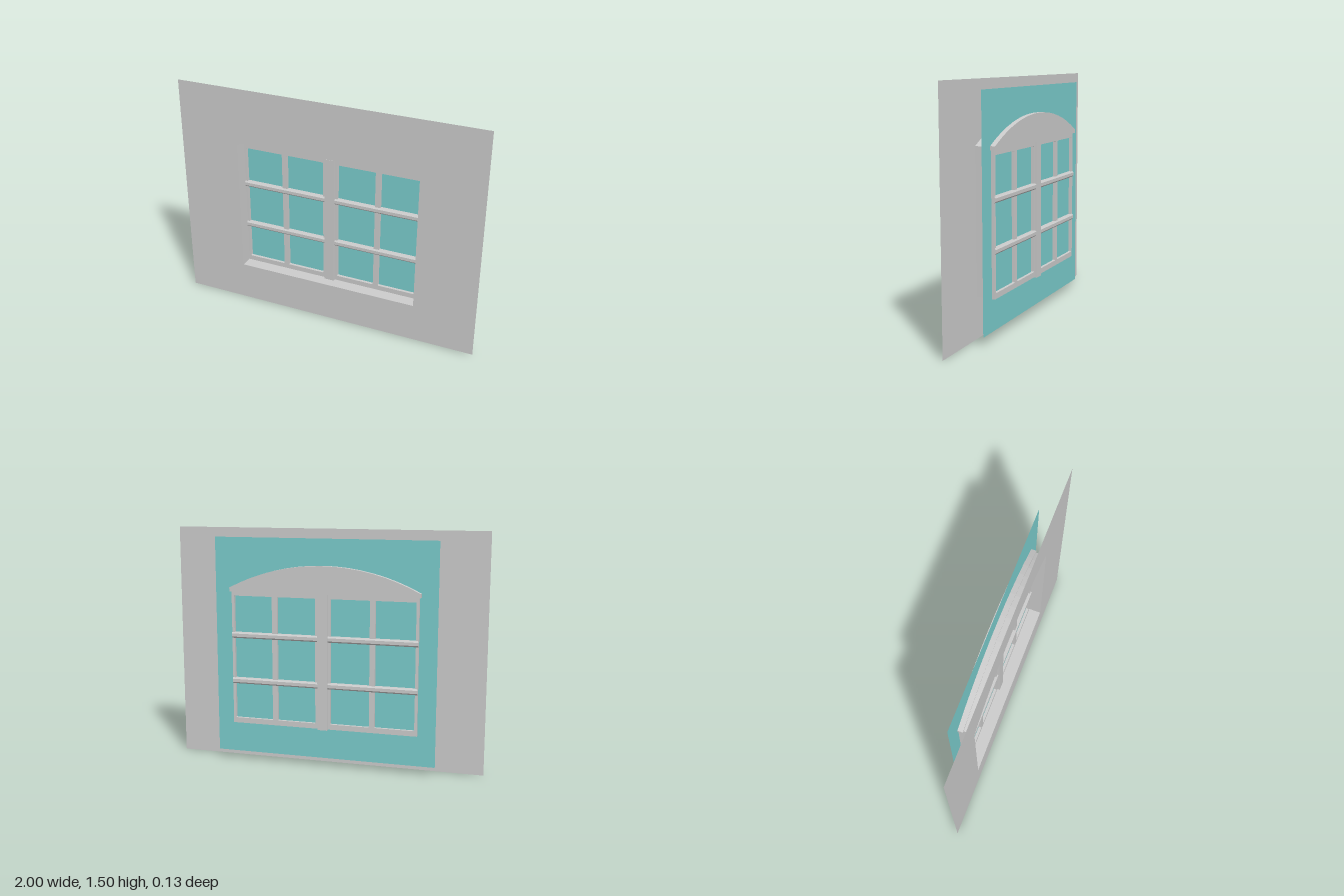
import * as THREE from 'three';

const grey = new THREE.MeshStandardMaterial({ color: 0xcccccc, side: THREE.DoubleSide });
const creased = new THREE.MeshStandardMaterial({ color: 0xcccccc, side: THREE.DoubleSide, flatShading: true });
const teal = new THREE.MeshStandardMaterial({ color: 0x7acccc, side: THREE.DoubleSide });

const WALL_Z = 0.065;
const SASH_FRONT = -0.015, SASH_BACK = -0.053;

function add(parent, name, geometry, material = grey) {
  const mesh = new THREE.Mesh(geometry, material);
  mesh.name = name;
  parent.add(mesh);
  return mesh;
}

// Outline with a straight base and a circular-arc head
function archPoints(half, base, spring, apex, segments = 16) {
  const rise = apex - spring;
  const radius = (half * half + rise * rise) / (2 * rise);
  const sweep = Math.asin(half / radius);
  const points = [new THREE.Vector2(-half, base), new THREE.Vector2(half, base)];
  for (let i = 0; i <= segments; i++) {
    const a = sweep * (1 - (2 * i) / segments);
    points.push(new THREE.Vector2(radius * Math.sin(a), apex - radius + radius * Math.cos(a)));
  }
  return points;
}

// Rectangle, optionally with slightly rounded corners
function rectangle(path, x0, y0, x1, y1, r = 0) {
  if (!r) return path.moveTo(x0, y0).lineTo(x1, y0).lineTo(x1, y1).lineTo(x0, y1).closePath();
  path.moveTo(x0 + r, y0).lineTo(x1 - r, y0).quadraticCurveTo(x1, y0, x1, y0 + r);
  path.lineTo(x1, y1 - r).quadraticCurveTo(x1, y1, x1 - r, y1);
  path.lineTo(x0 + r, y1).quadraticCurveTo(x0, y1, x0, y1 - r);
  return path.lineTo(x0, y0 + r).quadraticCurveTo(x0, y0, x0 + r, y0);
}

// Open strip sweeping a closed outline from z0 to z1
function strip(points, z0, z1) {
  const pos = [];
  points.forEach((a, i) => {
    const b = points[(i + 1) % points.length];
    pos.push(a.x, a.y, z0, a.x, a.y, z1, b.x, b.y, z1);
    pos.push(a.x, a.y, z0, b.x, b.y, z1, b.x, b.y, z0);
  });
  const geometry = new THREE.BufferGeometry();
  geometry.setAttribute('position', new THREE.Float32BufferAttribute(pos, 3));
  geometry.computeVertexNormals();
  return geometry;
}

function extrude(shape, depth) {
  return new THREE.ExtrudeGeometry(shape, { depth, bevelEnabled: false, curveSegments: 4 });
}

// Horizontal glazing bar, chamfered on both faces
function barGeometry(length) {
  const profile = [
    [-0.027, -0.019], [-0.019, -0.019], [0.019, -0.019], [0.027, -0.010],
    [0.027, 0.010], [0.019, 0.019], [-0.019, 0.019], [-0.027, 0.010], [-0.027, -0.010], [-0.019, -0.019],
  ].slice(1).map(([z, y]) => new THREE.Vector2(z, y));
  const geometry = extrude(new THREE.Shape(profile), length);
  geometry.translate(0, 0, -length / 2);
  geometry.rotateY(Math.PI / 2);
  return geometry;
}

function makeSash(side) {
  const sash = new THREE.Group();
  sash.name = side > 0 ? 'leftSash' : 'rightSash';
  const inner = 0.031, outer = 0.6;
  const span = (a, b) => (side > 0 ? [a, b] : [-b, -a]);

  // Frame with two columns of three panes
  const [x0, x1] = span(inner, outer);
  const frame = rectangle(new THREE.Shape(), x0, 0.25, x1, 1.108);
  for (const [a, b] of [[0.049, 0.298], [0.332, 0.583]]) {
    const [h0, h1] = span(a, b);
    for (const [y0, y1] of [[0.284, 0.518], [0.541, 0.813], [0.836, 1.078]]) {
      frame.holes.push(rectangle(new THREE.Path(), h0, y0, h1, y1, 0.006));
    }
  }
  const geometry = extrude(frame, SASH_FRONT - SASH_BACK);
  geometry.translate(0, 0, SASH_BACK);
  add(sash, 'sashFrame', geometry);

  // Horizontal bars
  for (const y of [0.53, 0.826]) {
    add(sash, 'glazingBar', barGeometry(outer - inner), creased)
      .position.set((x0 + x1) / 2, y, (SASH_FRONT + SASH_BACK) / 2);
  }
  return sash;
}

export function createModel() {
  const model = new THREE.Group();
  model.name = 'archedWindow';

  // Wall sheet with the arched opening
  const opening = archPoints(0.6, 0.252, 1.125, 1.275);
  const wall = rectangle(new THREE.Shape(), -1, 0, 1, 1.5);
  wall.holes.push(new THREE.Path(opening));
  add(model, 'wall', new THREE.ShapeGeometry(wall)).position.z = WALL_Z;

  // Jambs, sill and arch soffit
  add(model, 'reveal', strip(opening, WALL_Z, SASH_FRONT), creased);

  // Solid arched head panel
  const head = extrude(new THREE.Shape(archPoints(0.61, 1.106, 1.13, 1.28)), 0.065);
  head.translate(0, 0, -0.065);
  add(model, 'archPanel', head);

  // Centre post
  add(model, 'centrePost', new THREE.BoxGeometry(0.064, 0.865, 0.067)).position.set(0, 0.6775, -0.0315);

  // Two mirrored sashes
  for (const side of [-1, 1]) model.add(makeSash(side));

  // Glass sheet running through the sashes
  add(model, 'glass', new THREE.PlaneGeometry(1.425, 1.39), teal).position.set(0, 0.75, -0.034);

  return model;
}
